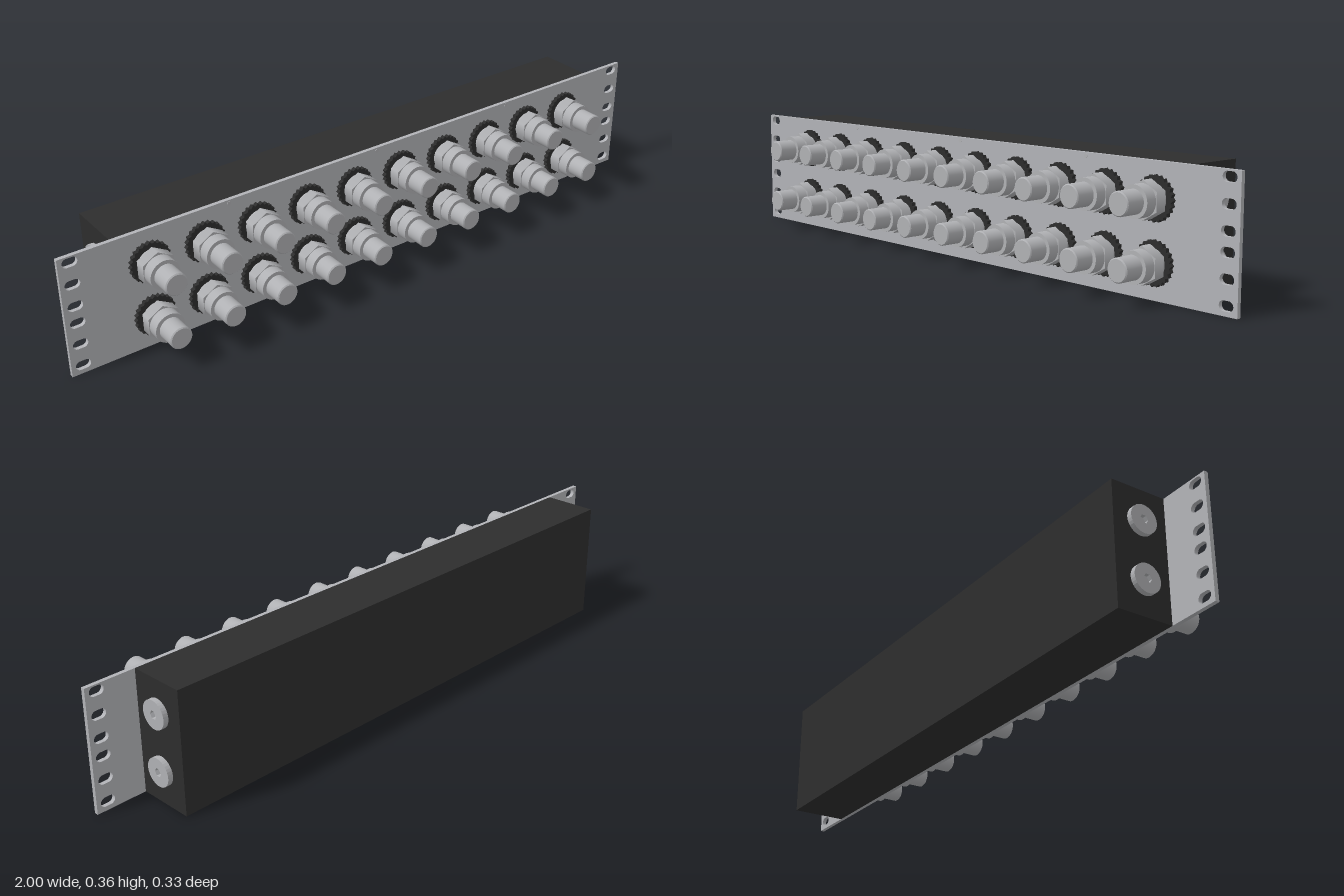
import * as THREE from 'three';

const material = (name, color) => {
  const m = new THREE.MeshStandardMaterial({ color });
  m.name = name;
  return m;
};

export function createModel() {
  const aluminium = material('aluminium', 0xb2b3b7);
  const steel = material('steel', 0xb0b1b4);
  const black = material('black', 0x2d2d2d);
  const model = new THREE.Group();
  model.name = 'manifoldPanel';

  const add = (parent, name, geometry, mat, x = 0, y = 0, z = 0) => {
    const mesh = new THREE.Mesh(geometry, mat);
    mesh.name = name;
    mesh.position.set(x, y, z);
    parent.add(mesh);
    return mesh;
  };
  const extrude = (shape, depth) =>
    new THREE.ExtrudeGeometry(shape, { depth, bevelEnabled: false, curveSegments: 16 });
  // Cylinder along z, from z0 to z1
  const barrel = (r, z0, z1, sides = 32) =>
    new THREE.CylinderGeometry(r, r, z1 - z0, sides).rotateX(Math.PI / 2).translate(0, 0, (z0 + z1) / 2);
  // Points around a circle, with a radius for each index
  const around = (count, radius) => Array.from({ length: count }, (_, i) => {
    const a = (i / count) * Math.PI * 2;
    return new THREE.Vector2(Math.cos(a) * radius(i), Math.sin(a) * radius(i));
  });

  const H = 0.36;
  const rows = [0.099, 0.265];

  // Front plate with rack slots along both ends
  const plate = new THREE.Shape();
  plate.moveTo(-1, 0).lineTo(1, 0).lineTo(1, H).lineTo(-1, H).closePath();
  for (const x of [-0.966, 0.966]) {
    for (const y of [0.026, 0.092, 0.158, 0.21, 0.276, 0.342]) {
      const slot = new THREE.Path();
      slot.absarc(x + 0.008, y, 0.0135, -Math.PI / 2, Math.PI / 2, false);
      slot.absarc(x - 0.008, y, 0.0135, Math.PI / 2, Math.PI * 1.5, false);
      slot.closePath();
      plate.holes.push(slot);
    }
  }
  add(model, 'frontPlate', extrude(plate, 0.012), aluminium, 0, 0, 0.004);

  // Manifold body behind the plate
  add(model, 'body', new THREE.BoxGeometry(1.7, H, 0.167), black, 0, H / 2, -0.0795);

  // Flush plate screws
  const screw = barrel(0.006, 0, 0.001, 16);
  for (const x of [-0.5, 0, 0.5]) {
    for (const y of [0.035, 0.35]) add(model, 'plateScrew', screw, steel, x, y, 0.016);
  }

  // Connector parts, shared by all twenty connectors
  const knurl = extrude(new THREE.Shape(around(48, i => (i % 2 ? 0.055 : 0.061))), 0.013);
  const collar = barrel(0.041, 0.029, 0.039);
  const nut = barrel(0.052, 0.038, 0.071, 6);
  const sleeve = barrel(0.0435, 0.071, 0.104);
  const tip = new THREE.LatheGeometry([
    [0.0325, 0.104], [0.0325, 0.16], [0.0325, 0.16], [0.0295, 0.163], [0.0295, 0.163], [0, 0.163],
  ].map(p => new THREE.Vector2(...p)), 32).rotateX(Math.PI / 2);

  for (const y of rows) {
    for (let i = 0; i < 10; i++) {
      const connector = new THREE.Group();
      connector.name = 'connector';
      connector.position.set(-0.75 + i * 0.166, y, 0);
      add(connector, 'lockRing', knurl, black, 0, 0, 0.016);
      add(connector, 'collar', collar, steel);
      add(connector, 'hexNut', nut, steel);
      add(connector, 'sleeve', sleeve, steel);
      add(connector, 'tip', tip, steel);
      model.add(connector);
    }
  }

  // End plugs with a hex socket, facing outward along x
  const disc = new THREE.Shape();
  disc.absarc(0, 0, 0.041, 0, Math.PI * 2, false);
  disc.holes.push(new THREE.Path(around(6, () => 0.0125)).closePath());
  const plugHead = extrude(disc, 0.015);
  const socketFloor = barrel(0.016, 0, 0.004, 24);
  for (const side of [-1, 1]) {
    for (const y of rows) {
      const plug = new THREE.Group();
      plug.name = 'endPlug';
      plug.position.set(side * 0.85, y, -0.078);
      plug.rotation.y = side * Math.PI / 2;
      add(plug, 'plugHead', plugHead, steel);
      add(plug, 'socketFloor', socketFloor, steel);
      model.add(plug);
    }
  }

  return model;
}
